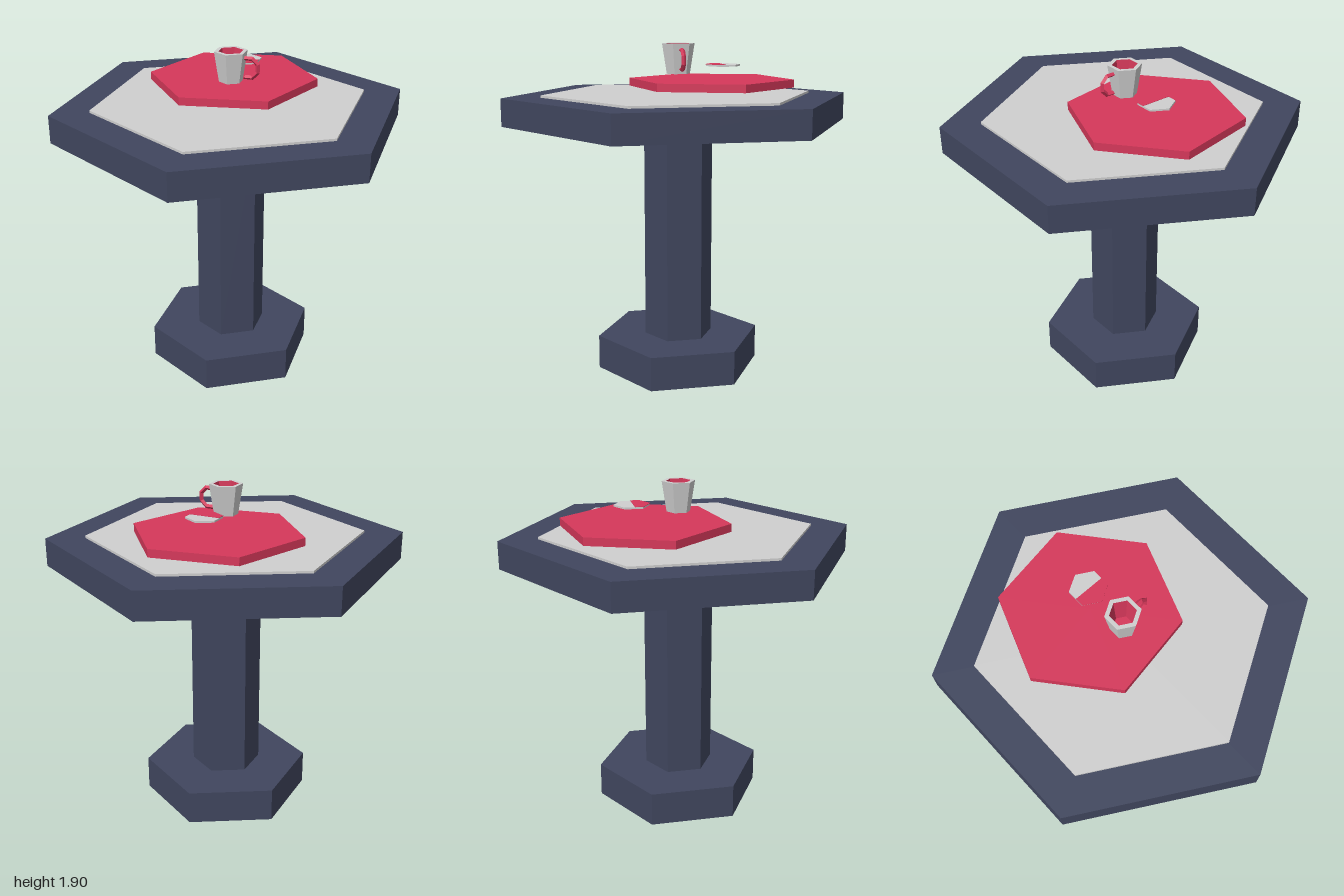
import * as THREE from 'three';

const mat = (name, color, flatShading = true) => {
  const m = new THREE.MeshStandardMaterial({ color, flatShading });
  m.name = name;
  return m;
};

export function createModel() {
  const group = new THREE.Group();
  const navy = mat('navy', 0x40465e);
  const grey = mat('lightGrey', 0xcfcfcf);
  const red = mat('crimson', 0xd5385a);

  const add = (name, geometry, material, x = 0, y = 0, z = 0) => {
    const mesh = new THREE.Mesh(geometry, material);
    mesh.name = name;
    mesh.position.set(x, y, z);
    group.add(mesh);
    return mesh;
  };
  // Hexagonal prism between two heights, corners on the z axis
  const hex = (name, radius, y0, y1, material, x = 0, z = 0) =>
    add(name, new THREE.CylinderGeometry(radius, radius, y1 - y0, 6), material, x, (y0 + y1) / 2, z);
  // Six-sided turned profile
  const lathe = (points) =>
    new THREE.LatheGeometry(points.map(([r, y]) => new THREE.Vector2(r, y)), 6);

  // Table
  hex('base', 0.48, 0, 0.197, navy);
  hex('column', 0.2, 0.197, 1.455, navy);
  hex('tableTop', 1, 1.455, 1.612, navy);
  hex('tableInlay', 0.78, 1.612, 1.625, grey);

  // Turned tray
  hex('tray', 0.48, 1.655, 1.7, red, -0.047, -0.2).rotation.y = 0.692;

  // Small plate with a coloured front half
  hex('plate', 0.1, 1.775, 1.785, grey, 0, -0.262);
  const half = new THREE.Shape([
    [-0.0866, 0], [-0.0866, -0.05], [0, -0.1], [0.0866, -0.05], [0.0866, 0],
  ].map(([x, y]) => new THREE.Vector2(x, y)));
  const halfGeometry = new THREE.ExtrudeGeometry(half, { depth: 0.002, bevelEnabled: false });
  halfGeometry.rotateX(-Math.PI / 2);
  add('plateFrontHalf', halfGeometry, red, 0, 1.785, -0.257);

  // Cup shell, lining and handle
  add('cup', lathe([[0, 1.735], [0.067, 1.735], [0.094, 1.905], [0.07, 1.905]]), grey);
  add('cupLining', lathe([[0.07, 1.905], [0.052, 1.752], [0, 1.752]]), red);
  const handle = new THREE.TorusGeometry(0.057, 0.013, 4, 5, Math.PI * 1.25);
  handle.rotateZ(-Math.PI * 0.625);
  add('cupHandle', handle, red, 0.099, 1.817, 0);

  return group;
}
